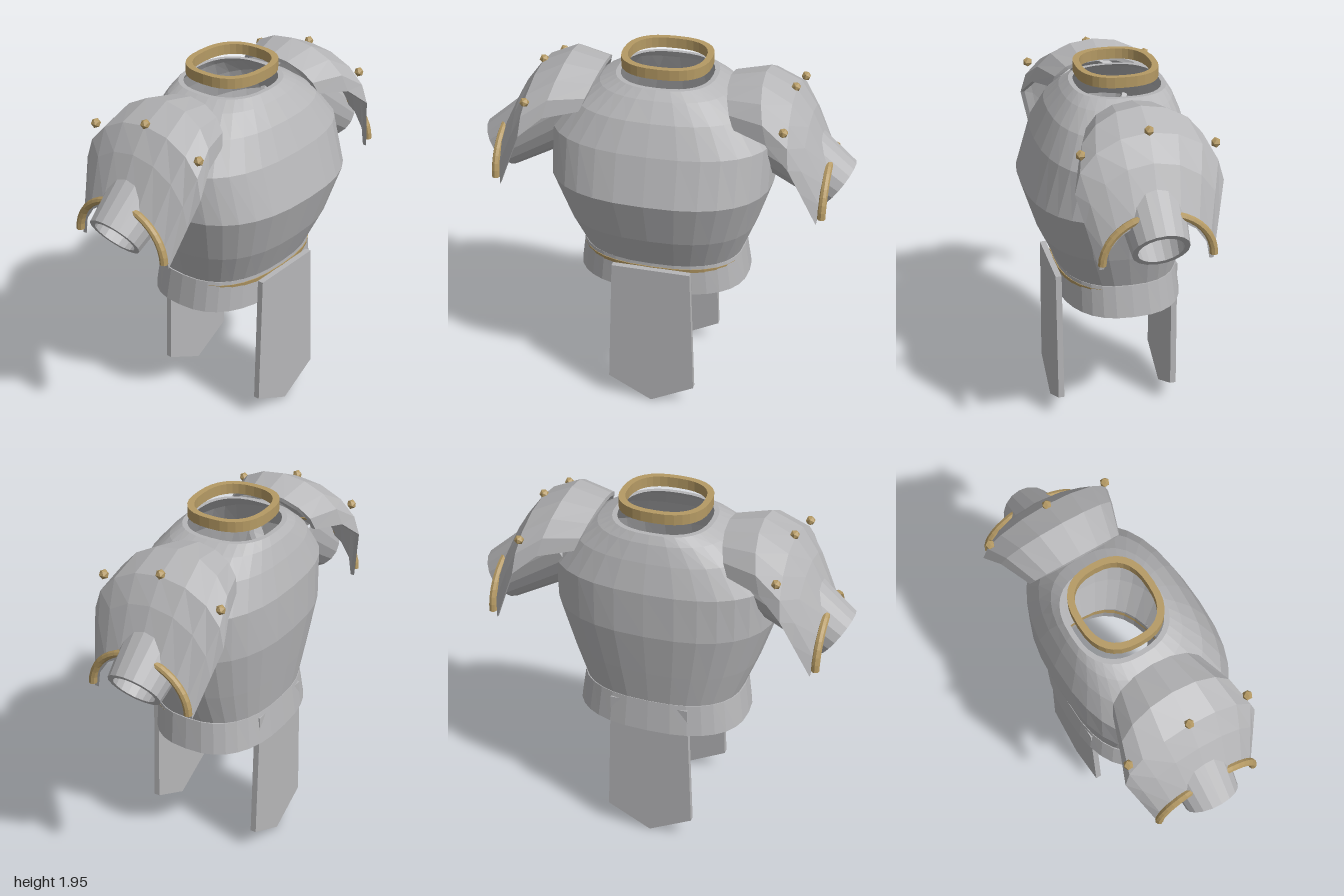
import * as THREE from 'three';

const steel = new THREE.MeshStandardMaterial({ color: 0xb6b6b8, flatShading: true });
steel.name = 'steel';
const brass = new THREE.MeshStandardMaterial({ color: 0xb59a64, flatShading: true });
brass.name = 'brass';

// Surface through a list of closed loops of points
function loft(rings, wrap) {
  const pos = [];
  const n = rings[0].length;
  const last = wrap ? rings.length : rings.length - 1;
  for (let i = 0; i < last; i++) {
    const r = rings[i], s = rings[(i + 1) % rings.length];
    for (let j = 0; j < n; j++) {
      const k = (j + 1) % n;
      for (const p of [r[j], s[j], s[k], r[j], s[k], r[k]]) pos.push(...p);
    }
  }
  const geo = new THREE.BufferGeometry();
  geo.setAttribute('position', new THREE.Float32BufferAttribute(pos, 3));
  geo.computeVertexNormals();
  return geo;
}

// Rounded-square ring: height, half width, centre z, half depth
function ring([y, hx, zc, hz], inset, power, sides) {
  const curve = (v) => Math.sign(v) * Math.abs(v) ** (2 / power);
  return Array.from({ length: sides }, (_, j) => {
    const t = (j / sides) * Math.PI * 2;
    return [(hx - inset) * curve(Math.cos(t)), y, zc + (hz - inset) * curve(Math.sin(t))];
  });
}

// Open tube with wall thickness, listed from bottom to top
function shell(profile, wall, power = 2.5, sides = 32) {
  const outer = profile.map((p) => ring(p, 0, power, sides));
  const inner = profile.map((p) => ring(p, wall, power, sides)).reverse();
  return loft([...outer, ...inner], true);
}

function add(parent, name, geo, mat, x = 0, y = 0, z = 0) {
  const mesh = new THREE.Mesh(geo, mat);
  mesh.name = name;
  mesh.position.set(x, y, z);
  parent.add(mesh);
  return mesh;
}

// Curved shoulder plate from arched sections: crown x, crown y, edge x, edge y, half depth
function shoulderPlate() {
  const sections = [
    [0.33, 1.865, 0.4, 1.69, 0.26],
    [0.51, 1.905, 0.58, 1.66, 0.325],
    [0.67, 1.83, 0.7, 1.56, 0.37],
    [0.76, 1.71, 0.76, 1.42, 0.335],
    [0.87, 1.49, 0.845, 1.22, 0.285],
  ];
  const wall = 0.022, steps = 8;
  const arch = ([tx, ty, ex, ey, hd], inset) =>
    Array.from({ length: steps + 1 }, (_, i) => {
      const a = Math.PI * (0.5 - i / steps);
      const c = Math.cos(a);
      return [ex + (tx - ex) * c, ey + (ty - ey - inset) * c, (hd - inset) * Math.sin(a)];
    });
  const loop = (s, outerInset) => [...arch(s, outerInset), ...arch(s, wall).reverse()];
  const rings = sections.map((s) => loop(s, 0));
  // Collapsed loops close the two rims
  return loft([loop(sections[0], wall), ...rings, loop(sections[4], wall)], false);
}

// Whole arm assembly on the +x side, with local z = 0 on the arm axis
function shoulder(name) {
  const g = new THREE.Group();
  g.name = name;
  add(g, 'shoulderPlate', shoulderPlate(), steel);

  // Tapered hollow sleeve pointing outward and down
  const sleeve = shell([[-0.5, 0.195, 0, 0.195], [0, 0.142, 0, 0.142]], 0.028, 2, 18);
  add(g, 'sleeve', sleeve, steel, 0.915, 1.325, 0).rotation.z = -THREE.MathUtils.degToRad(125);

  // Rounded trim around the lower rim of the plate
  const trim = new THREE.TorusGeometry(0.277, 0.021, 8, 20, Math.PI);
  trim.scale(1, 0.86, 1);
  trim.rotateY(Math.PI / 2);
  add(g, 'rimTrim', trim, brass, 0.87, 1.255, 0);
  for (const s of [-1, 1]) {
    const cap = new THREE.CircleGeometry(0.021, 8);
    cap.rotateX(Math.PI / 2);
    add(g, 'trimEnd', cap, brass, 0.87, 1.255, s * 0.277);
  }

  // Rivets
  for (const [y, z] of [[1.838, 0], [1.745, 0.333], [1.745, -0.333]]) {
    add(g, 'rivet', new THREE.IcosahedronGeometry(0.026, 0), brass, 0.665, y, z);
  }
  return g;
}

// Hanging plate with a pointed lower end
function tasset() {
  const shape = new THREE.Shape([
    new THREE.Vector2(-0.212, 0.86),
    new THREE.Vector2(-0.24, 0.125),
    new THREE.Vector2(0, 0),
    new THREE.Vector2(0.24, 0.125),
    new THREE.Vector2(0.212, 0.86),
  ]);
  return new THREE.ExtrudeGeometry(shape, { depth: 0.032, bevelEnabled: false });
}

export function createModel() {
  const model = new THREE.Group();
  model.name = 'armour';

  // Breastplate and backplate
  add(model, 'cuirass', shell([
    [0.875, 0.43, -0.05, 0.316],
    [1.075, 0.507, -0.018, 0.378],
    [1.325, 0.587, 0.004, 0.436],
    [1.57, 0.587, -0.03, 0.395],
    [1.72, 0.47, -0.045, 0.335],
    [1.81, 0.345, -0.065, 0.28],
    [1.85, 0.262, -0.075, 0.245],
  ], 0.025), steel);

  // Flared waist band with a brass belt barely showing at the front
  add(model, 'waistBand', shell([[0.71, 0.465, -0.06, 0.333], [0.885, 0.44, -0.05, 0.32]], 0.025), steel);
  add(model, 'belt', shell([[0.8, 0.44, -0.056, 0.32], [0.865, 0.44, -0.046, 0.321]], 0.02), brass);

  // Collar ring
  add(model, 'collar', shell([[1.895, 0.233, -0.067, 0.212], [1.95, 0.233, -0.067, 0.212]], 0.033), brass);

  add(model, 'frontTasset', tasset(), steel, 0, 0, 0.272);
  add(model, 'backTasset', tasset(), steel, 0, 0, -0.362);

  // Each arm is symmetric front to back, so a half turn mirrors it
  const left = shoulder('leftShoulder');
  const right = shoulder('rightShoulder');
  right.rotation.y = Math.PI;
  for (const g of [left, right]) {
    g.position.z = -0.067;
    model.add(g);
  }
  return model;
}
